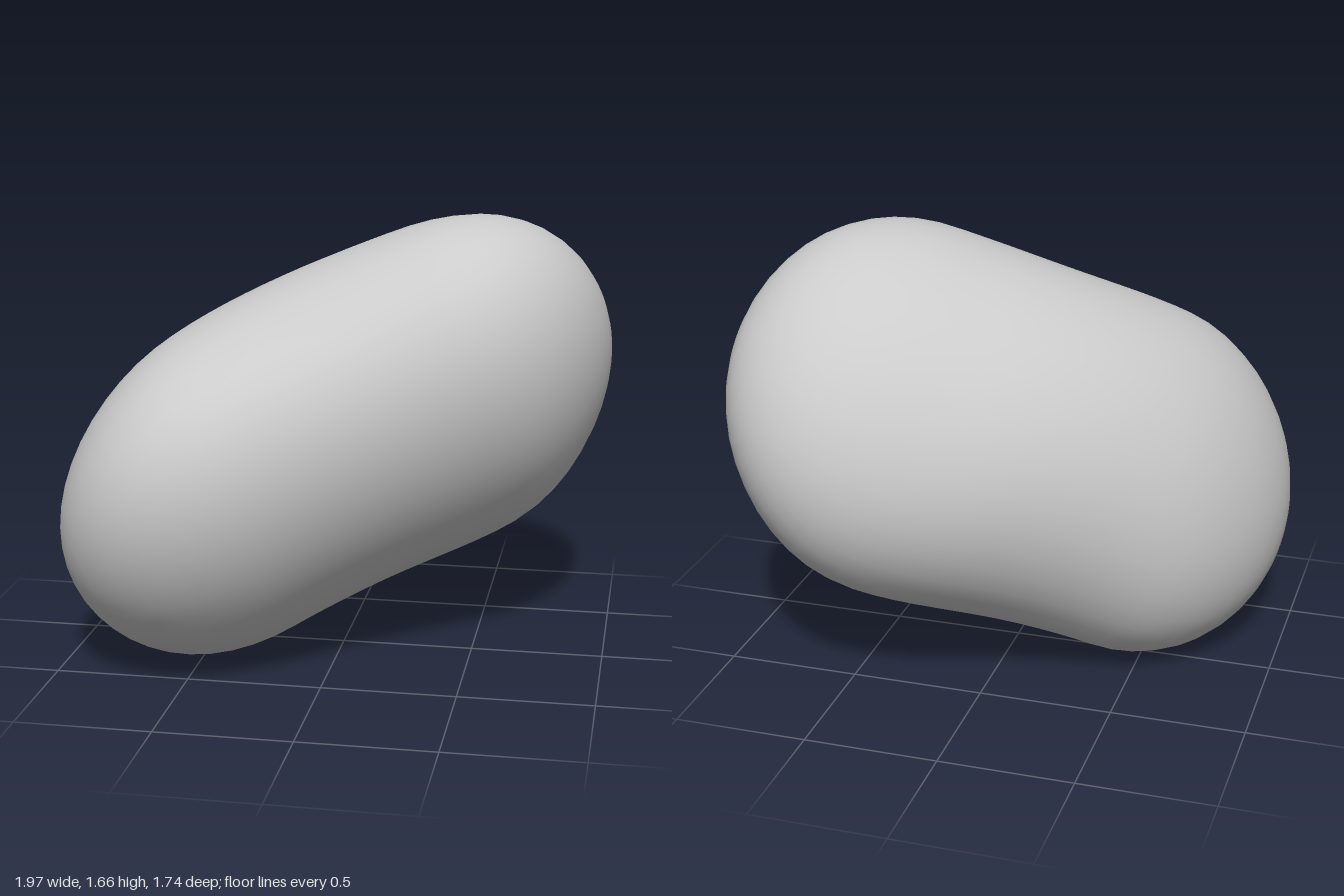
import * as THREE from 'three';
import { mergeVertices } from 'three/addons/utils/BufferGeometryUtils.js';

const { lerp, clamp, smoothstep } = THREE.MathUtils;
const TIP = 1.15; // half length of the bean

// Bean: a capsule reshaped so that its belly has two soft lobes and its back
// is one smooth arch, then tilted
function beanGeometry() {
  const capsule = new THREE.CapsuleGeometry(1, 2, 12, 40, 12);
  capsule.deleteAttribute('uv');
  capsule.deleteAttribute('normal');
  const geo = mergeVertices(capsule, 1e-4);
  const pos = geo.attributes.position;

  for (let i = 0; i < pos.count; i++) {
    const x = pos.getX(i), y = pos.getY(i), z = pos.getZ(i);
    const h = clamp(y, -1, 1);
    const upper = (1 + Math.sin(h * Math.PI / 2)) / 2; // 0 small lobe, 1 big lobe
    const middle = (1 + Math.cos(h * Math.PI)) / 2;    // 1 halfway between them
    const along = lerp(-0.49, 0.47, (h + 1) / 2) + (y - h) * (y > 0 ? TIP - 0.47 : TIP - 0.49);
    const width = lerp(0.69, 0.72, upper) - 0.01 * middle;
    const belly = lerp(0.5, 0.53, upper) - 0.01 * middle;
    const arch = 0.64 * Math.sqrt(Math.max(0, 1 - (along / TIP) ** 2));
    const ring = Math.max(Math.hypot(x, z), 1e-6);
    // The big end curls backward, the small end a little forward
    const curl = 0.03 * smoothstep(-along, 0.4, 1.1) - 0.06 * smoothstep(along, 0.4, 1.1);
    pos.setXYZ(
      i,
      x * width + lerp(-0.03, 0.02, upper),
      along,
      curl + (z > 0 ? z * belly : z / ring * arch)
    );
  }

  // Tilt the long axis up, to the left and to the back
  const across = new THREE.Vector3(0, -1, -1).normalize();
  const axis = new THREE.Vector3(2, 1, -1).normalize();
  const front = new THREE.Vector3().crossVectors(across, axis);
  geo.applyMatrix4(new THREE.Matrix4().makeBasis(across, axis, front));

  // Stand on the ground
  geo.center();
  geo.computeBoundingBox();
  geo.translate(0, -geo.boundingBox.min.y, 0);
  geo.computeVertexNormals();
  return geo;
}

export function createModel() {
  const group = new THREE.Group();
  group.name = 'bean';
  const body = new THREE.Mesh(beanGeometry(), new THREE.MeshStandardMaterial({ color: 0xcccccc }));
  body.name = 'beanBody';
  group.add(body);
  return group;
}
